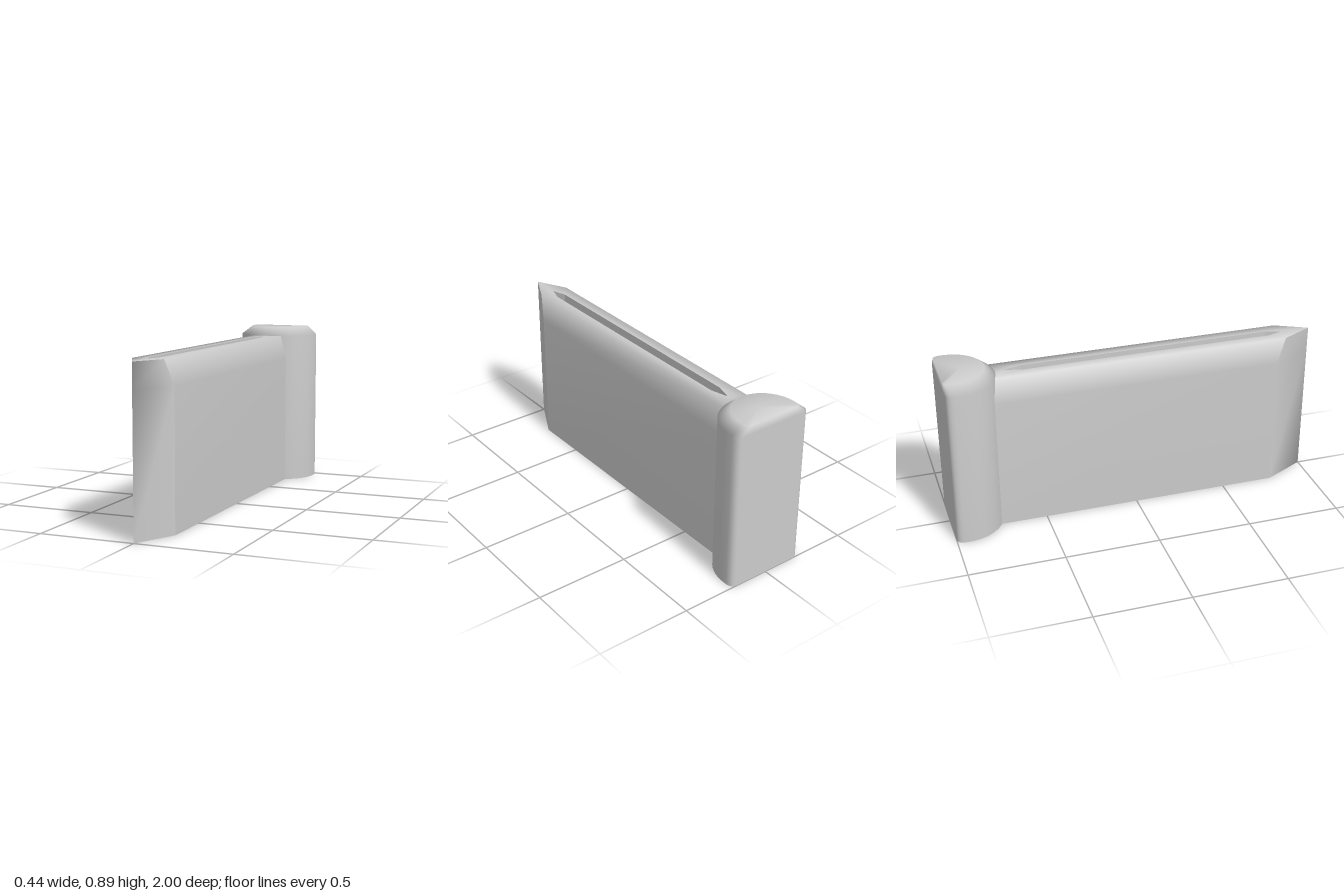
import * as THREE from 'three';
import { mergeGeometries, mergeVertices } from 'three/addons/utils/BufferGeometryUtils.js';

const material = new THREE.MeshStandardMaterial({ color: 0xcccccc, side: THREE.DoubleSide });

// Skin between stacked rows of points [x, y, z]; rows run anticlockwise in (x, z), bottom to top
function loft(rows, closed = false) {
  const n = rows[0].length;
  const index = [];
  for (let r = 0; r < rows.length - 1; r++) {
    for (let i = 0; i < (closed ? n : n - 1); i++) {
      const a = r * n + i, b = r * n + (i + 1) % n;
      index.push(a, a + n, b, b, a + n, b + n);
    }
  }
  const g = new THREE.BufferGeometry();
  g.setAttribute('position', new THREE.Float32BufferAttribute(rows.flat(2), 3));
  g.setIndex(index);
  g.computeVertexNormals();
  return g;
}

// Flat upward face at height y from (x, z) outlines
function flat(outline, y, hole) {
  const toVec = ([x, z]) => new THREE.Vector2(x, -z);
  const shape = new THREE.Shape(outline.map(toVec));
  if (hole) shape.holes.push(new THREE.Path(hole.map(toVec)));
  return new THREE.ShapeGeometry(shape).rotateX(-Math.PI / 2).translate(0, y, 0);
}

// Join pieces into one smooth-shaded surface
function smooth(pieces) {
  for (const g of pieces) {
    g.deleteAttribute('normal');
    g.deleteAttribute('uv');
  }
  const g = mergeVertices(mergeGeometries(pieces), 1e-4);
  g.computeVertexNormals();
  return g;
}

const at = (points, y) => points.map(([x, z]) => [x, y, z]);

export function createModel() {
  const model = new THREE.Group();
  const add = (name, geometry, parent = model) => {
    const mesh = new THREE.Mesh(geometry, material);
    mesh.name = name;
    parent.add(mesh);
  };

  // Wall: upright slab with sloping shoulders and a wedge-shaped front
  const wall = new THREE.Group();
  wall.name = 'wall';
  model.add(wall);
  const W = 0.11, T = 0.083, back = -0.79, shoulder = 0.715, H = 0.845;
  const low = [[W, back], [W, 0.78]], high = [[T, back], [T, 0.834]];
  const mirror = (points) => points.map(([x, z]) => [-x, z]).reverse();
  const rows = (a, b) => [at(a, 0), at(a, shoulder), at(b, H)];

  const slot = [[0, 0.84], [0.025, 0.76], [0.025, -0.58], [0, -0.67], [-0.025, -0.58], [-0.025, 0.76]];
  const topOutline = [...high, [0, 1], ...mirror(high)];
  add('wallBody', smooth([
    loft(rows(low, high)),
    loft(rows(mirror(low), mirror(high))),
    flat(topOutline, H, slot),
  ]), wall);
  add('wallTip', loft(rows([low[1], [0, 1], [-W, 0.78]], [high[1], [0, 1], [-T, 0.834]])), wall);
  add('wallEnd', loft(rows([[-W, back], [W, back]], [[-T, back], [T, back]])), wall);

  // Groove sunk into the top of the wall
  const floorY = H - 0.07;
  slot.forEach((p, i) => {
    const q = slot[(i + 1) % slot.length];
    add('grooveSide', loft([at([p, q], floorY), at([p, q], H)]), wall);
  });
  add('grooveFloor', flat(slot, floorY), wall);

  // Post: D-shaped column at the back, open below, with a bevelled cap
  const d = new THREE.Shape();
  d.moveTo(-0.18, -1);
  d.lineTo(0.18, -1);
  d.quadraticCurveTo(0.22, -1, 0.22, -0.955);
  d.lineTo(0.22, -0.935);
  d.absarc(0, -0.935, 0.22, 0, Math.PI);
  d.lineTo(-0.22, -0.955);
  d.quadraticCurveTo(-0.22, -1, -0.18, -1);
  const outline = d.getPoints(12).map((p) => [p.x, p.y])
    .filter(([x, z], i, all) => i === 0 || Math.hypot(x - all[i - 1][0], z - all[i - 1][1]) > 1e-4);
  outline.pop();
  const inset = outline.map(([x, z]) => [x * 0.75, -1 + (z + 1) * 0.81]);
  const centre = inset.map(() => [0, -0.89]);
  add('post', smooth([
    loft([at(outline, 0), at(outline, H), at(inset, 0.89), at(centre, 0.89)], true),
  ]));

  return model;
}
